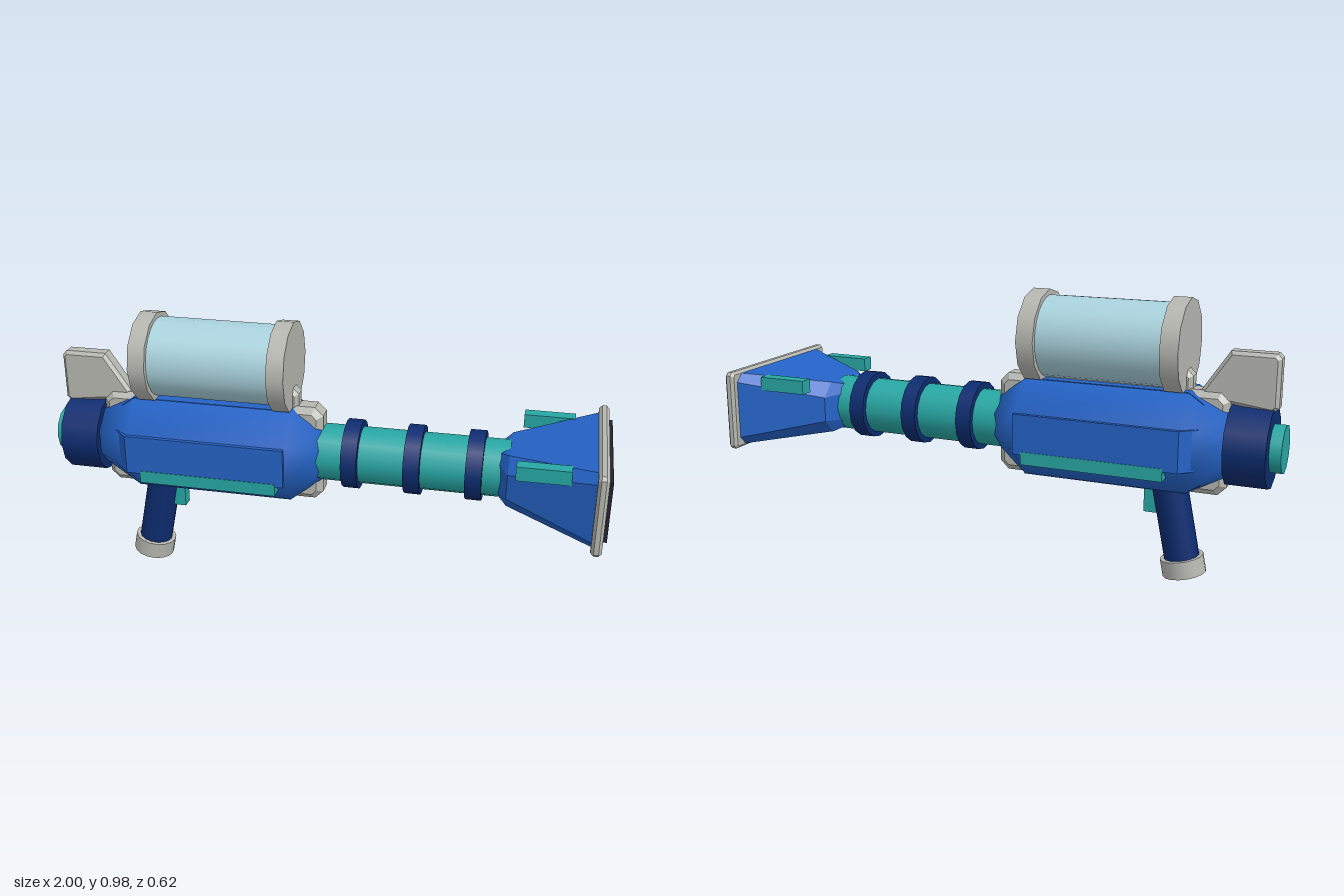
import * as THREE from 'three';

const mat = (name, color) => {
  const m = new THREE.MeshStandardMaterial({ color });
  m.name = name;
  return m;
};

export function createModel() {
  const root = new THREE.Group();
  root.name = 'blaster';
  const blue = mat('blue', 0x2463c6);
  const navy = mat('navy', 0x0c2c70);
  const teal = mat('teal', 0x27a7a4);
  const grey = mat('grey', 0xb7b7b1);
  const glass = mat('paleGlass', 0xa9d2dd);
  const dark = mat('dark', 0x22222e);

  const add = (name, geo, material, parent = root) => {
    const m = new THREE.Mesh(geo, material);
    m.name = name;
    parent.add(m);
    return m;
  };
  // Box given by its minimum and maximum corners
  const box = (name, a, b, material) => {
    const g = new THREE.BoxGeometry(b[0] - a[0], b[1] - a[1], b[2] - a[2]);
    g.translate((a[0] + b[0]) / 2, (a[1] + b[1]) / 2, (a[2] + b[2]) / 2);
    return add(name, g, material);
  };
  // Cylinder lying along x
  const tube = (name, x0, x1, r, y, material, sides = 12) => {
    const g = new THREE.CylinderGeometry(r, r, x1 - x0, sides);
    g.rotateZ(-Math.PI / 2).translate((x0 + x1) / 2, y, 0);
    return add(name, g, material);
  };
  // Side outline with bevelled edges, centred on z = 0
  const plate = (name, pts, half, bevel, material) => {
    const shape = new THREE.Shape(pts.map(p => new THREE.Vector2(...p)));
    const g = new THREE.ExtrudeGeometry(shape, {
      depth: 2 * (half - bevel), bevelEnabled: bevel > 0, bevelSize: bevel,
      bevelThickness: bevel, bevelOffset: -bevel, bevelSegments: 1,
    });
    g.translate(0, 0, bevel - half);
    return add(name, g, material);
  };
  // Rectangle outline with cut corners
  const cut = (x0, x1, y0, y1, c) => [
    [x0 + c, y0], [x1 - c, y0], [x1, y0 + c], [x1, y1 - c],
    [x1 - c, y1], [x0 + c, y1], [x0, y1 - c], [x0, y0 + c],
  ];

  // Eight-sided body with tapered ends
  const profile = [[0, -0.83], [0.11, -0.83], [0.186, -0.69], [0.186, -0.11], [0.1, 0], [0, 0]];
  const bodyGeo = new THREE.LatheGeometry(profile.map(p => new THREE.Vector2(...p)), 8, Math.PI / 8);
  bodyGeo.rotateZ(-Math.PI / 2).translate(0, 0.5, 0);
  add('body', bodyGeo, blue);

  // Flat panels on the sides and on the top and bottom
  const panel = (name, r, turn) => {
    const m = plate(name, [[-0.74, -0.14], [-0.69, -r], [-0.11, -r], [-0.11, r], [-0.69, r], [-0.74, 0.14]], 0.071, 0, blue);
    m.geometry.rotateX(turn);
    m.position.y = 0.5;
  };
  panel('sidePanels', 0.187, Math.PI / 2);
  panel('topPanel', 0.174, 0);

  // Grey spine running through the body
  plate('spine', cut(-0.82, 0, 0.322, 0.678, 0.03), 0.05, 0.022, grey);

  // Rear cap and plug
  tube('rearCap', -0.96, -0.82, 0.14, 0.498, navy);
  tube('rearPlug', -1, -0.95, 0.083, 0.498, teal);

  // Rear sight fin
  plate('rearFin', [[-0.975, 0.635], [-0.955, 0.62], [-0.72, 0.65], [-0.72, 0.68],
    [-0.81, 0.815], [-0.96, 0.815], [-0.975, 0.8]], 0.032, 0.012, grey);

  // Canister with end caps and mounting brackets
  tube('canister', -0.63, -0.15, 0.143, 0.815, glass, 24);
  for (const [x0, x1] of [[-0.67, -0.608], [-0.172, -0.11]]) tube('canisterCap', x0, x1, 0.163, 0.815, grey);
  for (const [x0, x1] of [[-0.69, -0.6], [-0.18, -0.09]])
    plate('canisterBracket', cut(x0, x1, 0.64, 0.74, 0.02), 0.034, 0.014, grey);

  // Barrel and rings
  tube('barrel', -0.02, 0.66, 0.102, 0.5, teal, 16);
  for (const x of [0.08, 0.3, 0.515]) tube('barrelRing', x, x + 0.057, 0.124, 0.502, navy, 16);

  // Flared nozzle: cut-corner sections joined along x as [x, half height, half width, corner]
  const sections = [[0.625, 0.08, 0.08, 0.03], [0.66, 0.095, 0.15, 0.05], [0.95, 0.135, 0.282, 0.03]]
    .map(([x, h, w, c]) => cut(-h, h, -w, w, c).map(([y, z]) => [x, y + 0.5, z]));
  const pos = [];
  for (let i = 0; i < 8; i++) {
    const j = (i + 1) % 8;
    for (let s = 0; s < 2; s++) {
      const a = sections[s], b = sections[s + 1];
      pos.push(...a[i], ...a[j], ...b[i], ...a[j], ...b[j], ...b[i]);
    }
    pos.push(0.625, 0.5, 0, ...sections[0][j], ...sections[0][i]);
  }
  const nozzleGeo = new THREE.BufferGeometry();
  nozzleGeo.setAttribute('position', new THREE.Float32BufferAttribute(pos, 3));
  nozzleGeo.computeVertexNormals();
  add('nozzle', nozzleGeo, blue);

  // Nozzle rim and dark mouth
  const rim = plate('nozzleRim', cut(-0.31, 0.31, -0.145, 0.145, 0.012), 0.018, 0.01, grey);
  rim.geometry.rotateY(Math.PI / 2);
  rim.position.set(0.968, 0.5, 0);
  box('mouth', [0.97, 0.39, -0.26], [1, 0.606, 0.26], dark);

  // Paired teal bars on the nozzle and body
  for (const s of [-1, 1]) {
    const bar = (name, x0, x1, y0, y1, z0, z1) =>
      box(name, [x0, y0, Math.min(s * z0, s * z1)], [x1, y1, Math.max(s * z0, s * z1)], teal);
    bar('nozzleBar', 0.69, 0.87, 0.575, 0.625, 0.197, 0.246);
    bar('bodyStrip', -0.64, -0.14, 0.395, 0.44, 0.12, 0.189);
  }

  // Tilted grip with foot
  const grip = new THREE.Group();
  grip.name = 'grip';
  grip.position.set(-0.677, 0.046, 0);
  grip.rotation.z = -0.2;
  root.add(grip);
  add('gripHandle', new THREE.CylinderGeometry(0.061, 0.061, 0.36, 16).translate(0, 0.18, 0), navy, grip);
  add('gripFoot', new THREE.CylinderGeometry(0.076, 0.076, 0.062, 16), grey, grip);

  // Trigger
  box('trigger', [-0.58, 0.228, -0.022], [-0.535, 0.345, 0.022], teal);

  return root;
}
